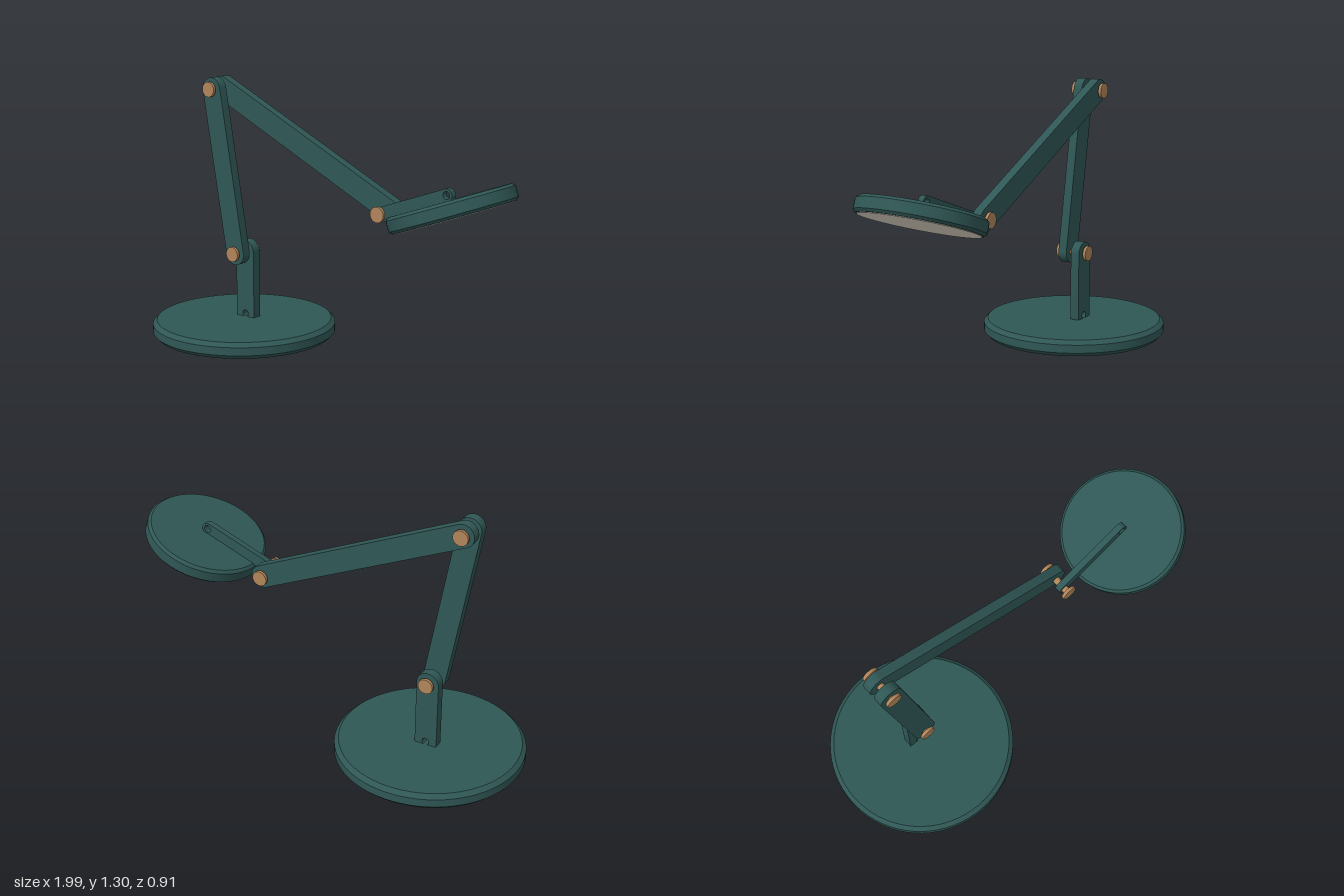
import * as THREE from 'three';
import { toCreasedNormals } from 'three/addons/utils/BufferGeometryUtils.js';

const material = (name, color) => {
  const m = new THREE.MeshStandardMaterial({ color });
  m.name = name;
  return m;
};

export function createModel() {
  const paint = material('teal paint', 0x2f5755);
  const brass = material('brass', 0xb1855a);
  const rubber = material('dark rubber', 0x2d2928);
  const glow = material('warm diffuser', 0xe6dfd0);

  const lamp = new THREE.Group();
  lamp.name = 'deskLamp';

  const add = (parent, name, geometry, mat, x = 0, y = 0, z = 0) => {
    const mesh = new THREE.Mesh(geometry, mat);
    mesh.name = name;
    mesh.position.set(x, y, z);
    parent.add(mesh);
    return mesh;
  };

  // Disc with chamfered rims, centred on its own origin
  const chamferedDisc = (r, h, c) => {
    const profile = [[0, -h / 2], [r - c, -h / 2], [r, -h / 2 + c], [r, h / 2 - c], [r - c, h / 2], [0, h / 2]];
    const lathe = new THREE.LatheGeometry(profile.map(([x, y]) => new THREE.Vector2(x, y)), 72);
    return toCreasedNormals(lathe, 0.4);
  };

  // Flat round-ended bar from a to b, with a hole at each end
  const bar = (name, a, b, r, thickness, z) => {
    const dx = b[0] - a[0], dy = b[1] - a[1], length = Math.hypot(dx, dy);
    const shape = new THREE.Shape();
    shape.absarc(0, 0, r, Math.PI / 2, Math.PI * 1.5);
    shape.absarc(length, 0, r, -Math.PI / 2, Math.PI / 2);
    shape.closePath();
    for (const x of [0, length]) {
      shape.holes.push(new THREE.Path().absarc(x, 0, 0.018, 0, Math.PI * 2, true));
    }
    const geometry = new THREE.ExtrudeGeometry(shape, { depth: thickness, bevelEnabled: false, curveSegments: 20 });
    geometry.translate(0, 0, -thickness / 2);
    const mesh = add(lamp, name, toCreasedNormals(geometry, 0.6), paint, a[0], a[1], z);
    mesh.rotation.z = Math.atan2(dy, dx);
  };

  // Joint positions in the xy plane
  const foot = [-0.55, 0.12], elbow = [-0.55, 0.44], shoulder = [-0.69, 1.24];
  const wrist = [0.333, 0.76], headMount = [0.685, 0.889];

  // Base and its three feet
  add(lamp, 'base', chamferedDisc(0.453, 0.08, 0.02), paint, -0.547, 0.065, 0);
  for (let i = 0; i < 3; i++) {
    const a = (i * Math.PI * 2) / 3;
    add(lamp, 'rubberFoot', new THREE.CylinderGeometry(0.046, 0.046, 0.026, 32), rubber,
      -0.55 + 0.295 * Math.cos(a), 0.013, 0.295 * Math.sin(a));
  }

  // Post and arms, alternating sides of the pivots
  bar('post', foot, elbow, 0.056, 0.046, -0.035);
  bar('lowerArm', elbow, shoulder, 0.056, 0.046, 0.037);
  bar('upperArm', shoulder, wrist, 0.056, 0.046, -0.035);
  bar('headLink', wrist, headMount, 0.03, 0.03, 0.032);

  // Pivot pins with a round head at both ends
  for (const [x, y] of [elbow, shoulder, wrist]) {
    const pivot = new THREE.Group();
    pivot.name = 'pivot';
    pivot.position.set(x, y, 0);
    pivot.rotation.x = Math.PI / 2;
    add(pivot, 'pivotShaft', new THREE.CylinderGeometry(0.017, 0.017, 0.15, 24), brass);
    for (const side of [-1, 1]) {
      add(pivot, 'pivotHead', new THREE.CylinderGeometry(0.037, 0.037, 0.015, 32), brass, 0, side * 0.076, 0);
    }
    lamp.add(pivot);
  }

  // Tilted head with the diffuser underneath
  const head = new THREE.Group();
  head.name = 'head';
  head.position.set(0.707, 0.831, 0.034);
  head.rotation.z = THREE.MathUtils.degToRad(20);
  add(head, 'headShell', chamferedDisc(0.294, 0.076, 0.013), paint);
  add(head, 'diffuser', new THREE.CylinderGeometry(0.274, 0.274, 0.006, 72), glow, 0, -0.038, 0);
  lamp.add(head);

  return lamp;
}
